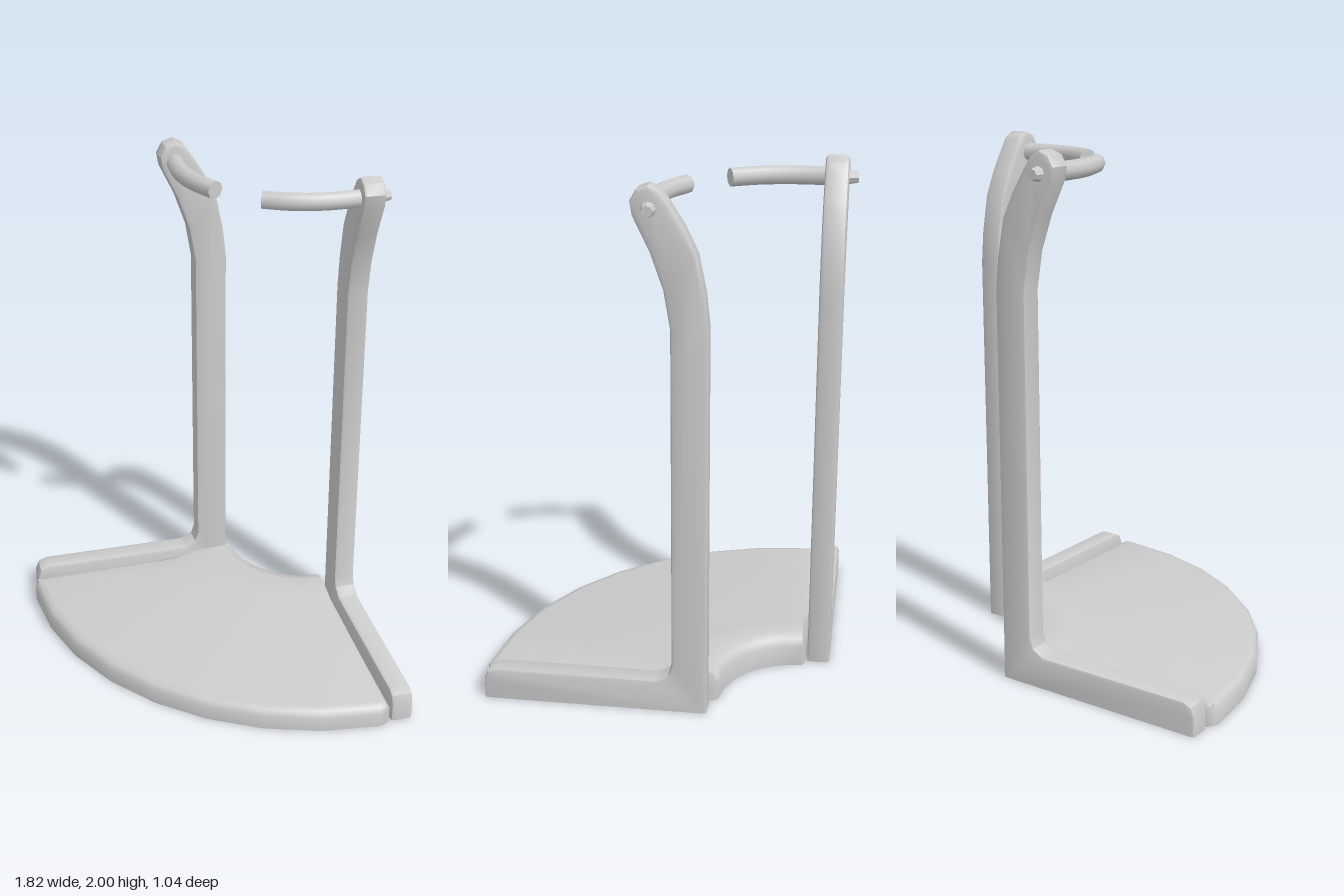
import * as THREE from 'three';
import { toCreasedNormals } from 'three/addons/utils/BufferGeometryUtils.js';

const material = new THREE.MeshStandardMaterial({ color: 0xcccccc, side: THREE.DoubleSide });
const HUB_Z = -0.7; // centre of the fan's arcs

function part(name, geometry) {
  const mesh = new THREE.Mesh(geometry, material);
  mesh.name = name;
  return mesh;
}

// Fan-shaped floor plate: an open-bottomed shell swept around the hub
function basePlate() {
  const profile = [
    [0.31, 0], [0.31, 0.085], [0.325, 0.11], [0.37, 0.12], [0.47, 0.117], [0.59, 0.09],
    [1.18, 0.09], [1.205, 0.082], [1.22, 0.06], [1.22, 0],
  ];
  // each column: angle, height limit, corner rounding
  const columns = [[-45, 0, 0.025], [-45, 0.065, 0.025], [-44.3, 0.085, 0.012]];
  for (let i = 0; i <= 8; i++) columns.push([-43 + i * 10.75, 1, 0]);
  columns.push([44.3, 0.085, 0.012], [45, 0.065, 0.025], [45, 0, 0.025]);

  const positions = [], index = [];
  const n = profile.length;
  columns.forEach(([deg, limit, round], c) => {
    const a = THREE.MathUtils.degToRad(deg);
    profile.forEach(([r, y], p) => {
      const radius = THREE.MathUtils.clamp(r, 0.31 + round, 1.22 - round);
      positions.push(radius * Math.sin(a), Math.min(y, limit), HUB_Z + radius * Math.cos(a));
      if (c && p) {
        const k = c * n + p;
        index.push(k - n - 1, k - n, k - 1, k - n, k, k - 1);
      }
    });
  });
  const geometry = new THREE.BufferGeometry();
  geometry.setAttribute('position', new THREE.Float32BufferAttribute(positions, 3));
  geometry.setIndex(index);
  return part('basePlate', toCreasedNormals(geometry, 0.9));
}

// Foot, post and curved head in one bevelled outline, open underneath
function uprightGeometry() {
  const outline = [
    [0, -0.05], [0, 1.5], [0.012, 1.62], [0.04, 1.76], [0.085, 1.855], [0.135, 1.935],
    [0.165, 1.98], [0.205, 2.0], [0.245, 1.985], [0.268, 1.945], [0.26, 1.895],
    [0.2, 1.77], [0.155, 1.64], [0.132, 1.5], [0.132, 0.19], [0.145, 0.15], [0.19, 0.125],
    [0.81, 0.125], [0.843, 0.11], [0.857, 0.075], [0.857, -0.05],
  ].map(([u, y]) => new THREE.Vector2(u, y));
  const bevel = 0.014, thickness = 0.088;
  const depth = thickness - 2 * bevel;
  const solid = new THREE.ExtrudeGeometry(new THREE.Shape(outline), {
    depth, bevelSize: bevel, bevelThickness: bevel, bevelOffset: -bevel, bevelSegments: 2,
  });
  solid.translate(0, 0, -depth / 2);

  // flatten at the floor and drop the faces lying on it
  const p = solid.attributes.position;
  const kept = [];
  for (let i = 0; i < p.count; i += 3) {
    const corners = [i, i + 1, i + 2];
    if (corners.every((k) => p.getY(k) <= 0)) continue;
    corners.forEach((k) => kept.push(p.getX(k), Math.max(0, p.getY(k)), p.getZ(k)));
  }
  const geometry = new THREE.BufferGeometry();
  geometry.setAttribute('position', new THREE.Float32BufferAttribute(kept, 3));
  return toCreasedNormals(geometry, 0.6);
}

function sideAssembly(name) {
  const side = new THREE.Group();
  side.name = name;

  const upright = part('upright', uprightGeometry());
  upright.position.set(0.28, 0, -0.495);
  upright.rotation.y = -Math.PI / 4;
  side.add(upright);

  // curved holding arm
  const curve = new THREE.CatmullRomCurve3([
    [0.425, -0.355], [0.375, -0.29], [0.295, -0.215], [0.2, -0.158], [0.1, -0.125],
  ].map(([x, z]) => new THREE.Vector3(x, 1.92, z)));
  side.add(part('arm', new THREE.TubeGeometry(curve, 12, 0.035, 8)));

  const cap = part('armTip', new THREE.CircleGeometry(0.035, 8));
  cap.position.copy(curve.getPoint(1));
  cap.lookAt(cap.position.clone().add(curve.getTangent(1)));
  side.add(cap);

  // tapered peg end showing on the outer face of the head
  const peg = part('armPeg', toCreasedNormals(new THREE.CylinderGeometry(0.02, 0.035, 0.07, 8), 0.6));
  peg.position.set(0.454, 1.92, -0.382);
  peg.quaternion.setFromUnitVectors(new THREE.Vector3(0, 1, 0), new THREE.Vector3(1, 0, -1).normalize());
  side.add(peg);
  return side;
}

export function createModel() {
  const model = new THREE.Group();
  model.name = 'displayStand';
  const left = sideAssembly('leftSide');
  const right = sideAssembly('rightSide');
  right.scale.x = -1;
  model.add(basePlate(), left, right);
  return model;
}
